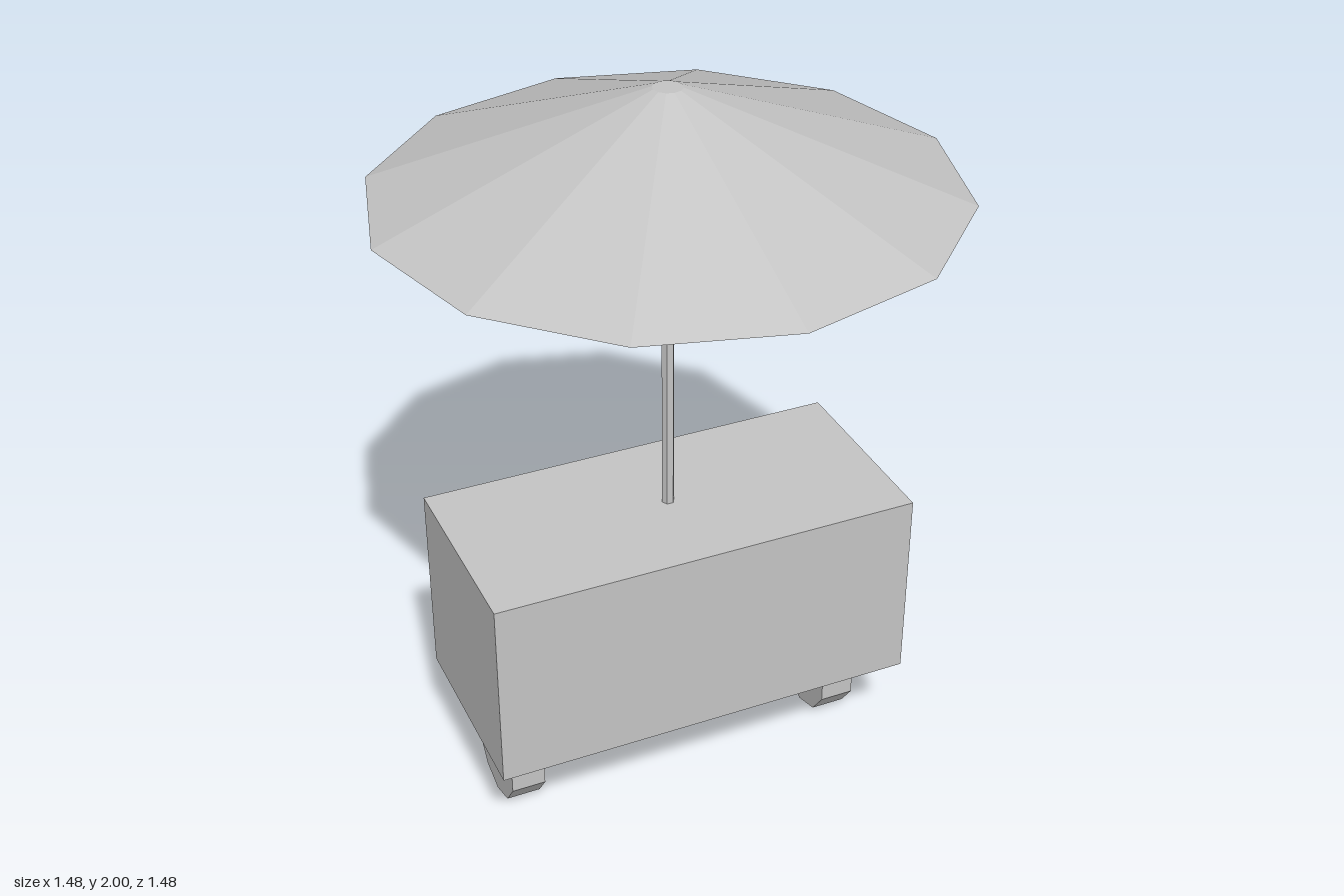
import * as THREE from 'three';

export function createModel() {
  const group = new THREE.Group();
  const grey = new THREE.MeshStandardMaterial({ color: 0xc4c4c4, flatShading: true });
  grey.name = 'light grey';

  const add = (name, geometry, x, y) => {
    const mesh = new THREE.Mesh(geometry, grey);
    mesh.name = name;
    mesh.position.set(x, y, 0);
    group.add(mesh);
  };
  // faceted cylinder with a corner on the x axis
  const prism = (top, bottom, height, sides) =>
    new THREE.CylinderGeometry(top, bottom, height, sides, 1, false, Math.PI / 2);

  // cart body
  add('cartBody', new THREE.BoxGeometry(1.174, 0.546, 0.546), 0, 0.552);

  // one ten-sided wheel near each end
  for (const [name, side] of [['leftWheel', 1], ['rightWheel', -1]]) {
    add(name, prism(0.1375, 0.1375, 0.094, 10).rotateZ(Math.PI / 2), side * 0.47, 0.1375);
  }

  // parasol: slim six-sided pole and twelve-sided canopy
  add('parasolPole', prism(0.0172, 0.0172, 0.93, 6), 0, 1.275);
  add('parasolCanopy', prism(0.038, 0.742, 0.27, 12), 0, 1.865);

  return group;
}
